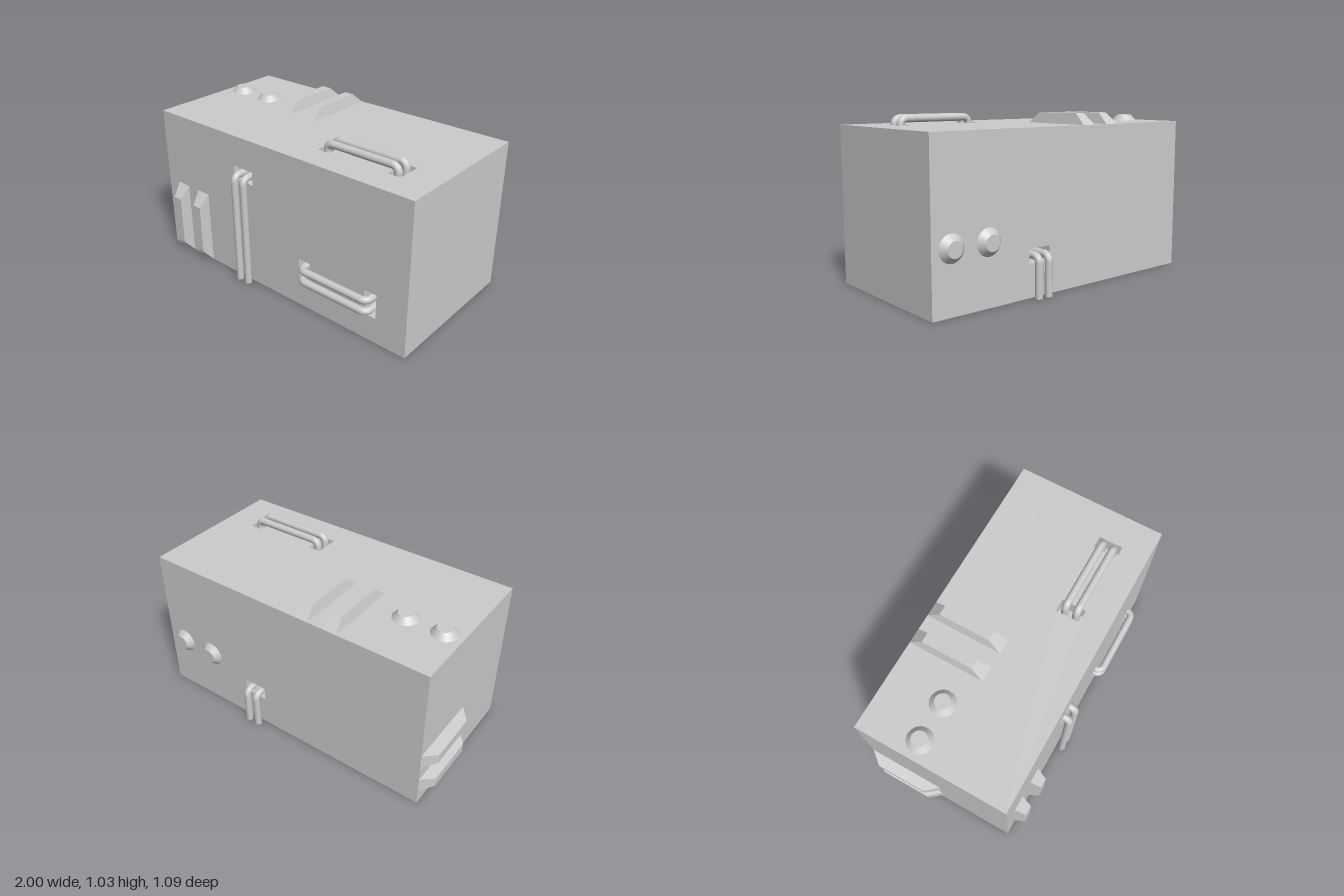
import * as THREE from 'three';

const grey = new THREE.MeshStandardMaterial({ color: 0xcccccc });
const DEPTH = 0.1;   // pocket depth
const LIFT = 0.038;  // pipe centre above the panel, also the bend radius
const PIPE_R = 0.023;
const GAP = 0.0365;  // half spacing of paired pipes

// Block limits
const X0 = -0.93, X1 = 1, H = 0.965, Z0 = -0.487, Z1 = 0.478;

function add(parent, name, geometry, x = 0, y = 0, z = 0) {
  const mesh = new THREE.Mesh(geometry, grey);
  mesh.name = name;
  mesh.position.set(x, y, z);
  parent.add(mesh);
  return mesh;
}

// Flat panel with rectangular openings [cx, cy, w, h], each backed by an inward-facing pocket.
// In a panel's own frame, z points out of the block.
function makePanel(name, x0, y0, x1, y1, openings = []) {
  const panel = new THREE.Group();
  panel.name = name;
  const rect = (P, a, b, c, d) =>
    new P([[a, b], [c, b], [c, d], [a, d]].map(p => new THREE.Vector2(...p)));
  const shape = rect(THREE.Shape, x0, y0, x1, y1);
  for (const [cx, cy, w, h] of openings) {
    shape.holes.push(rect(THREE.Path, cx - w / 2, cy - h / 2, cx + w / 2, cy + h / 2));
    const box = new THREE.BoxGeometry(w, h, DEPTH);
    const idx = Array.from(box.index.array);
    idx.splice(24, 6); // open mouth
    box.setIndex(idx.reverse());
    box.computeVertexNormals();
    add(panel, 'pocket', box, cx, cy, -DEPTH / 2);
  }
  add(panel, name + 'Face', new THREE.ShapeGeometry(shape));
  return panel;
}

// Ridge with tapered sides and long sloping ends
function addRidge(panel, cx, cy, w, h) {
  const geo = new THREE.BoxGeometry(w, h, 0.067);
  const p = geo.attributes.position;
  for (let i = 0; i < p.count; i++) {
    if (p.getZ(i) < 0) continue;
    p.setX(i, p.getX(i) - Math.sign(p.getX(i)) * (w > h ? 0.08 : 0.017));
    p.setY(i, p.getY(i) - Math.sign(p.getY(i)) * (w > h ? 0.017 : 0.08));
  }
  geo.computeVertexNormals();
  add(panel, 'ridge', geo, cx, cy, 0.0335);
}

// Low round stud
function addStud(panel, cx, cy) {
  const geo = new THREE.CylinderGeometry(0.047, 0.08, 0.037, 32).rotateX(Math.PI / 2);
  add(panel, 'stud', geo, cx, cy, 0.0185);
}

// Quarter bend that leaves the panel at a and levels out at b
function bend(a, b) {
  const k = 0.552;
  const corner = new THREE.Vector3(a.x, a.y, b.z);
  return new THREE.CubicBezierCurve3(a, a.clone().lerp(corner, k), b.clone().lerp(corner, k), b);
}

function addTube(panel, name, curves) {
  const path = new THREE.CurvePath();
  curves.forEach(c => path.add(c));
  add(panel, name, new THREE.TubeGeometry(path, 120, PIPE_R, 16));
}

const V = (x, y, z) => new THREE.Vector3(x, y, z);

// Pair of pipes leaving a pocket and running down to the ground
function addPipes(panel, cx, top) {
  for (const s of [-1, 1]) {
    const x = cx + s * GAP;
    const a = V(x, top, 0), b = V(x, top - LIFT, LIFT);
    addTube(panel, 'pipe', [
      new THREE.LineCurve3(V(x, top, -DEPTH), a), bend(a, b),
      new THREE.LineCurve3(b, V(x, 0, LIFT)),
    ]);
    add(panel, 'pipeEnd', new THREE.CircleGeometry(PIPE_R, 16).rotateX(Math.PI / 2), x, 0, LIFT);
  }
}

// Pair of handle bars, both ends going into pockets
function addHandle(panel, xa, xb, cy) {
  for (const s of [-1, 1]) {
    const y = cy + s * GAP;
    const a = V(xa, y, 0), b = V(xa + LIFT, y, LIFT);
    const c = V(xb - LIFT, y, LIFT), d = V(xb, y, 0);
    const out = bend(d, c);
    addTube(panel, 'handleBar', [
      new THREE.LineCurve3(V(xa, y, -DEPTH), a), bend(a, b), new THREE.LineCurve3(b, c),
      new THREE.CubicBezierCurve3(out.v3, out.v2, out.v1, out.v0),
      new THREE.LineCurve3(d, V(xb, y, -DEPTH)),
    ]);
  }
}

const handlePockets = cy => [[0.275, cy, 0.082, 0.155], [0.757, cy, 0.082, 0.155]];

export function createModel() {
  const model = new THREE.Group();
  model.name = 'detailedBlock';

  // Front: ridges, tall pipes, handle
  const front = makePanel('frontPanel', X0, 0, X1, H,
    [[-0.208, 0.725, 0.155, 0.086], ...handlePockets(0.243)]);
  front.position.z = Z1;
  for (const x of [-0.785, -0.594]) addRidge(front, x, 0.2425, 0.096, 0.485);
  addPipes(front, -0.208, 0.725);
  addHandle(front, 0.275, 0.757, 0.245);

  // Back: studs and short pipes (local x is mirrored)
  const back = makePanel('backPanel', -X1, 0, -X0, H, [[-0.275, 0.243, 0.155, 0.086]]);
  back.position.z = Z0;
  back.rotation.y = Math.PI;
  for (const x of [0.635, 0.876]) addStud(back, -x, 0.365);
  addPipes(back, -0.275, 0.243);

  // Top: studs, ridges, handle (local y is -z)
  const top = makePanel('topPanel', X0, -Z1, X1, -Z0, handlePockets(-0.231));
  top.position.y = H;
  top.rotation.x = -Math.PI / 2;
  for (const x of [-0.815, -0.573]) addStud(top, x, 0.13);
  for (const x of [-0.306, -0.112]) addRidge(top, x, 0.2445, 0.096, 0.485);
  addHandle(top, 0.275, 0.757, -0.231);

  // Right side: two level ridges (local x is z)
  const right = makePanel('rightPanel', Z0, 0, Z1, H);
  right.position.x = X0;
  right.rotation.y = -Math.PI / 2;
  for (const y of [0.342, 0.15]) addRidge(right, -0.2445, y, 0.485, 0.096);

  // Plain left side and underside
  const left = makePanel('leftPanel', -Z1, 0, -Z0, H);
  left.position.x = X1;
  left.rotation.y = Math.PI / 2;
  const bottom = makePanel('bottomPanel', X0, Z0, X1, Z1);
  bottom.rotation.x = Math.PI / 2;

  model.add(front, back, top, right, left, bottom);
  return model;
}
